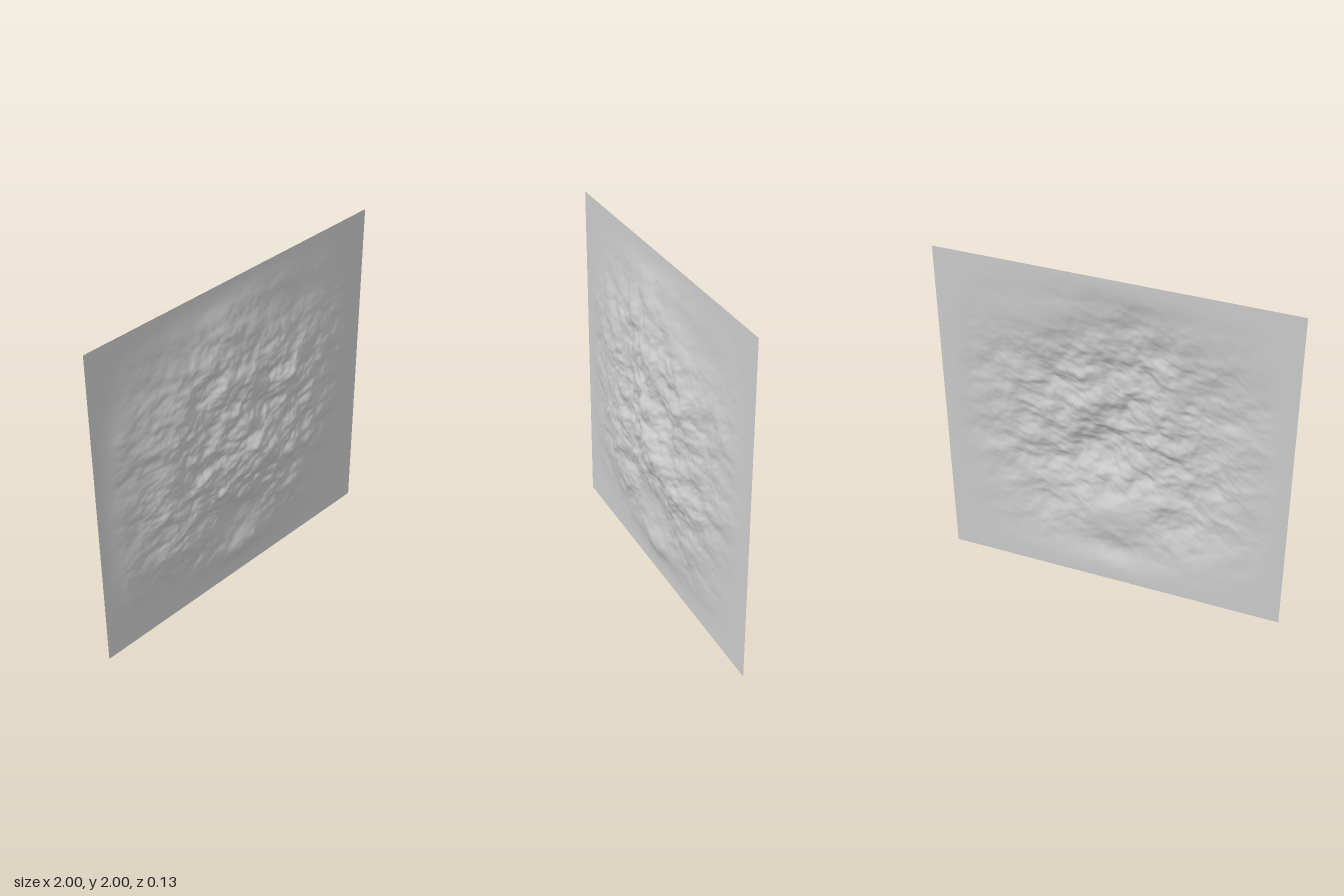
import * as THREE from 'three';

const SEGMENTS = 200;
const BACK = -0.07;
const RELIEF = 0.14;

// Broad hills and hollows: x, y, radius in x, radius in y, height
const FEATURES = [
  [0.07, 0.88, 0.2, 0.15, 0.062],    // summit
  [-0.06, 1.15, 0.17, 0.17, 0.032],  // upper shoulder
  [0.0, 1.42, 0.22, 0.12, 0.028],    // top ridge
  [-0.05, 1.68, 0.3, 0.15, 0.03],    // top spur
  [-0.56, 1.3, 0.15, 0.25, 0.045],   // left ridge
  [-0.5, 0.8, 0.17, 0.25, 0.026],    // lower left ridge
  [-0.52, 0.45, 0.18, 0.15, 0.022],  // bottom left spur
  [0.36, 1.28, 0.1, 0.2, 0.02],      // right ridge
  [0.32, 0.78, 0.14, 0.16, 0.012],   // right shoulder
  [0.45, 0.48, 0.14, 0.15, 0.022],   // bottom right spur
  [0.0, 0.2, 0.3, 0.08, 0.045],      // basin rim
  [0.0, 0.47, 0.2, 0.14, -0.046],    // basin
  [0.2, 1.27, 0.08, 0.2, -0.014],    // right gully
  [-0.32, 1.25, 0.1, 0.2, -0.012],   // left gully
  [0.45, 1.72, 0.25, 0.15, -0.035],  // flat upper corner
];

// Seeded lattice value in -1..1
function lattice(i, j, seed) {
  let h = Math.imul(i, 374761393) ^ Math.imul(j, 668265263) ^ Math.imul(seed, 1274126177);
  h = Math.imul(h ^ (h >>> 13), 1103515245);
  h = Math.imul(h ^ (h >>> 15), 739982445);
  h ^= h >>> 16;
  return ((h >>> 0) / 4294967295) * 2 - 1;
}

// Gradient noise, roughly -0.7..0.7
function noise(x, y, seed) {
  const i = Math.floor(x), j = Math.floor(y);
  const fx = x - i, fy = y - j;
  const fade = (t) => t * t * t * (t * (t * 6 - 15) + 10);
  const corner = (a, b) => {
    const angle = Math.PI * lattice(i + a, j + b, seed);
    return Math.cos(angle) * (fx - a) + Math.sin(angle) * (fy - b);
  };
  const { lerp } = THREE.MathUtils;
  return lerp(
    lerp(corner(0, 0), corner(1, 0), fade(fx)),
    lerp(corner(0, 1), corner(1, 1), fade(fx)), fade(fy));
}

// Layered noise, turned at each octave to hide the lattice
function fractal(x, y, octaves, seed) {
  let sum = 0, amplitude = 1;
  for (let k = 0; k < octaves; k++) {
    sum += amplitude * noise(x, y, seed + k);
    [x, y] = [1.6 * x - 1.2 * y + 3.7, 1.2 * x + 1.6 * y + 1.3];
    amplitude *= 0.5;
  }
  return sum;
}

function heightAt(x, y) {
  const { smoothstep } = THREE.MathUtils;
  // Slope away to a flat border, with an irregular outline
  const wobble = 0.1 * noise(x * 3, y * 3, 50);
  const r = Math.pow(Math.abs(x) ** 2.6 + Math.abs(y - 1) ** 2.6, 1 / 2.6);
  const edge = Math.max(Math.abs(x), Math.abs(y - 1));
  const mask = (1 - smoothstep(r + wobble, 0.3, 1.06)) * (1 - smoothstep(edge, 0.82, 0.99));
  let broad = 0.06, rough = 1;
  for (const [fx, fy, rx, ry, h] of FEATURES) {
    const g = Math.exp(-(((x - fx) / rx) ** 2) - ((y - fy) / ry) ** 2);
    broad += h * g;
    if (h < -0.03) rough -= 0.75 * g;
  }
  // Warped rock detail, softer inside the hollows
  const wx = x + 0.03 * noise(x * 6, y * 6, 20);
  const wy = y + 0.03 * noise(x * 6, y * 6, 30);
  const rock = 0.03 * fractal(wx * 6, wy * 7.5, 4, 7);
  return Math.max(0, mask * (broad + rough * rock));
}

export function createModel() {
  const group = new THREE.Group();
  group.name = 'terrainPanel';

  // Upright sheet pushed forward by the height rule
  const geometry = new THREE.PlaneGeometry(2, 2, SEGMENTS, SEGMENTS);
  geometry.translate(0, 1, 0);
  const pos = geometry.attributes.position;
  for (let i = 0; i < pos.count; i++) {
    const h = heightAt(pos.getX(i), pos.getY(i));
    pos.setZ(i, BACK + Math.min(h, RELIEF));
  }
  geometry.computeVertexNormals();

  const material = new THREE.MeshStandardMaterial({ color: 0xcccccc, side: THREE.DoubleSide });
  const terrain = new THREE.Mesh(geometry, material);
  terrain.name = 'mountainTerrain';
  group.add(terrain);
  return group;
}
